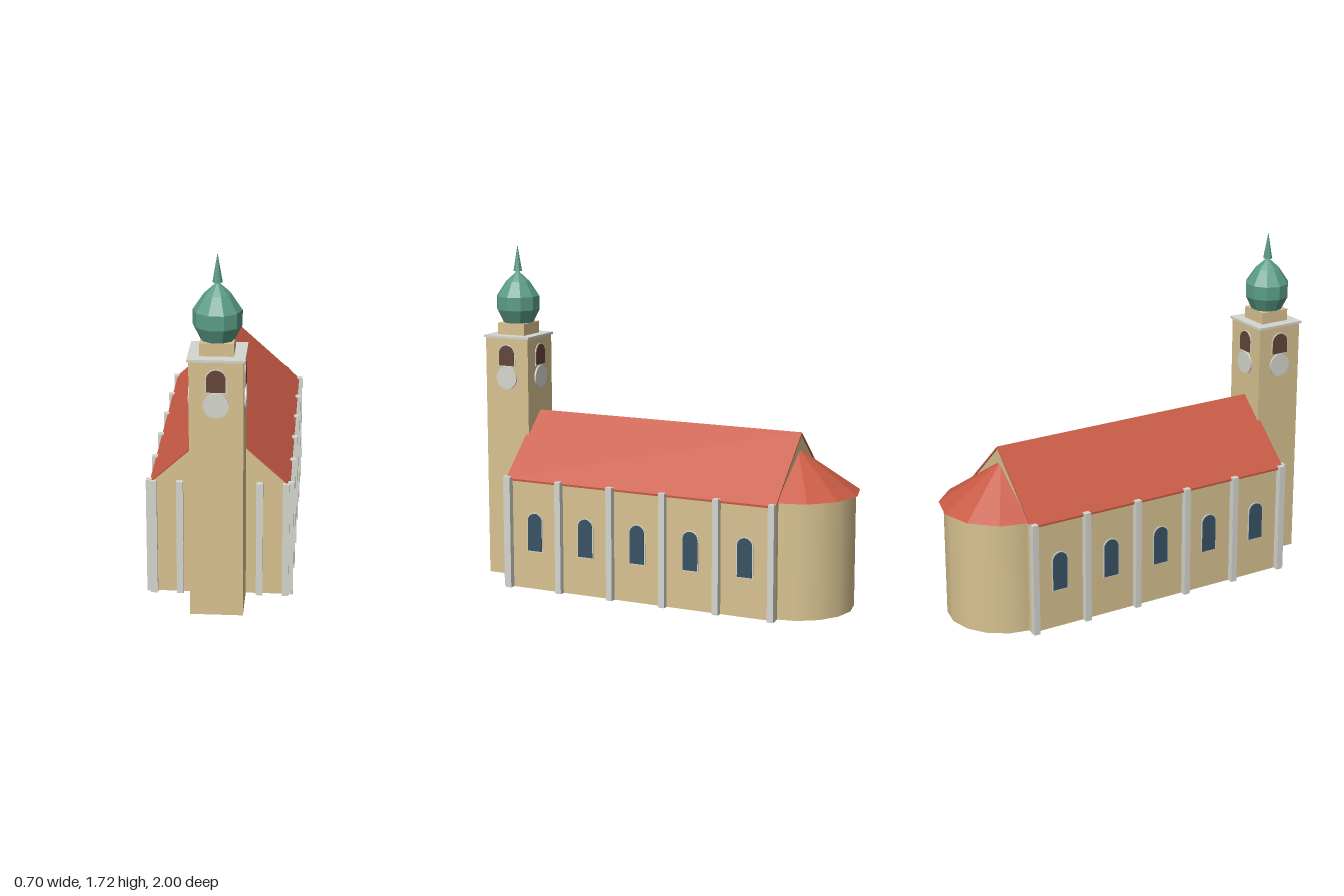
import * as THREE from 'three';

const paint = (name, color) => {
  const m = new THREE.MeshStandardMaterial({ color, side: THREE.DoubleSide });
  m.name = name;
  return m;
};

// Gives every face its own normal
function faceted(geometry) {
  const g = geometry.toNonIndexed();
  g.computeVertexNormals();
  return g;
}

// Round-headed opening, centred on x, sill at y = 0
function archPlate(halfWidth, height, depth) {
  const s = new THREE.Shape();
  s.moveTo(-halfWidth, 0);
  s.lineTo(halfWidth, 0);
  s.lineTo(halfWidth, height - halfWidth);
  s.absarc(0, height - halfWidth, halfWidth, 0, Math.PI, false);
  s.closePath();
  return new THREE.ExtrudeGeometry(s, { depth, bevelEnabled: false, curveSegments: 8 });
}

export function createModel() {
  const wall = paint('plaster', 0xd8c290);
  const trim = paint('stone', 0xd6d6d0);
  const tile = paint('roofTile', 0xc85a45);
  const copper = paint('copper', 0x5b9c86);
  const glass = paint('glass', 0x385264);
  const louvre = paint('louvre', 0x644539);

  const model = new THREE.Group();
  model.name = 'church';

  const add = (name, geometry, material, x = 0, y = 0, z = 0, parent = model) => {
    const mesh = new THREE.Mesh(geometry, material);
    mesh.name = name;
    mesh.position.set(x, y, z);
    parent.add(mesh);
    return mesh;
  };
  const box = (name, w, h, d, material, x, y, z, parent) =>
    add(name, new THREE.BoxGeometry(w, h, d), material, x, y + h / 2, z, parent);

  // Framed arched window facing +z of its group
  const archWindow = (name, halfWidth, height, material) => {
    const g = new THREE.Group();
    g.name = name;
    add('frame', archPlate(halfWidth + 0.005, height + 0.01, 0.004), trim, 0, -0.005, 0, g);
    add('pane', archPlate(halfWidth, height, 0.007), material, 0, 0, 0, g);
    return g;
  };

  // Nave: open-bottomed walls with a gable at each end
  const half = 0.317, eave = 0.568, front = 0.757, back = -0.705;
  const length = front - back, middle = (front + back) / 2;
  for (const side of [1, -1]) {
    const sideWall = add('naveSideWall', new THREE.PlaneGeometry(length, eave), wall,
      side * half, eave / 2, middle);
    sideWall.rotation.y = side * Math.PI / 2;
  }
  const gable = new THREE.Shape([[-half, 0], [half, 0], [half, eave], [0, 0.857], [-half, eave]]
    .map(([x, y]) => new THREE.Vector2(x, y)));
  add('frontGable', new THREE.ShapeGeometry(gable), wall, 0, 0, front);
  add('backGable', new THREE.ShapeGeometry(gable), wall, 0, 0, back).rotation.y = Math.PI;

  // Thin chevron roof
  const chevron = new THREE.Shape([[-0.33, 0.556], [0, 0.857], [0.33, 0.556], [0.33, 0.566], [0, 0.867], [-0.33, 0.566]]
    .map(([x, y]) => new THREE.Vector2(x, y)));
  add('naveRoof', new THREE.ExtrudeGeometry(chevron, { depth: 1.472, bevelEnabled: false }),
    tile, 0, 0, -0.71);

  // Buttresses and windows along both sides
  for (const side of [1, -1]) {
    for (let i = 0; i < 6; i++) {
      box('sideButtress', 0.032, 0.575, 0.032, trim, side * 0.332, 0, 0.748 - i * 0.2884);
    }
    for (let i = 0; i < 5; i++) {
      const w = archWindow('naveWindow', 0.039, 0.194, glass);
      w.position.set(side * half, 0.2, 0.604 - i * 0.2884);
      w.rotation.y = side * Math.PI / 2;
      model.add(w);
    }
    for (const x of [0.188, 0.312]) {
      box('frontButtress', 0.032, 0.575, 0.032, trim, side * x, 0, 0.766);
    }
  }

  // Rounded apse with a faceted half-cone roof
  add('apseWall', new THREE.CylinderGeometry(0.286, 0.286, 0.577, 8, 1, true, Math.PI / 2, Math.PI),
    wall, 0, 0.2885, -0.69);
  add('apseRoof', faceted(new THREE.ConeGeometry(0.31, 0.212, 6, 1, true, Math.PI / 2, Math.PI)),
    tile, 0, 0.577 + 0.106, -0.69);

  // Bell tower
  const tower = new THREE.Group();
  tower.name = 'bellTower';
  tower.position.z = 0.869;
  model.add(tower);
  const t = 0.123;
  add('towerShaft', faceted(new THREE.CylinderGeometry(t * Math.SQRT2, t * Math.SQRT2, 1.247, 4, 1, true, Math.PI / 4)),
    wall, 0, 1.247 / 2, 0, tower);
  box('towerCornice', 0.262, 0.012, 0.262, trim, 0, 1.247, 0, tower);
  box('towerDrum', 0.155, 0.06, 0.155, wall, 0, 1.259, 0, tower);

  // Belfry opening and blank dial on each face
  for (let i = 0; i < 4; i++) {
    const face = new THREE.Group();
    face.name = 'towerFace';
    face.rotation.y = i * Math.PI / 2;
    tower.add(face);
    const opening = archWindow('belfryOpening', 0.044, 0.104, louvre);
    opening.position.set(0, 1.106, t);
    face.add(opening);
    const dial = add('clockDial', new THREE.CylinderGeometry(0.059, 0.059, 0.009, 20), trim,
      0, 1.043, t + 0.0045, face);
    dial.rotation.x = Math.PI / 2;
  }

  // Onion dome and spire
  const profile = [[0, 1.316], [0.077, 1.316], [0.112, 1.386], [0.112, 1.455], [0.062, 1.53], [0, 1.586]]
    .map(([r, y]) => new THREE.Vector2(r, y));
  add('onionDome', faceted(new THREE.LatheGeometry(profile, 10)), copper, 0, 0, 0, tower)
    .rotation.y = Math.PI / 2;
  add('spire', faceted(new THREE.ConeGeometry(0.023, 0.135, 8)), copper, 0, 1.582 + 0.0675, 0, tower);

  return model;
}
